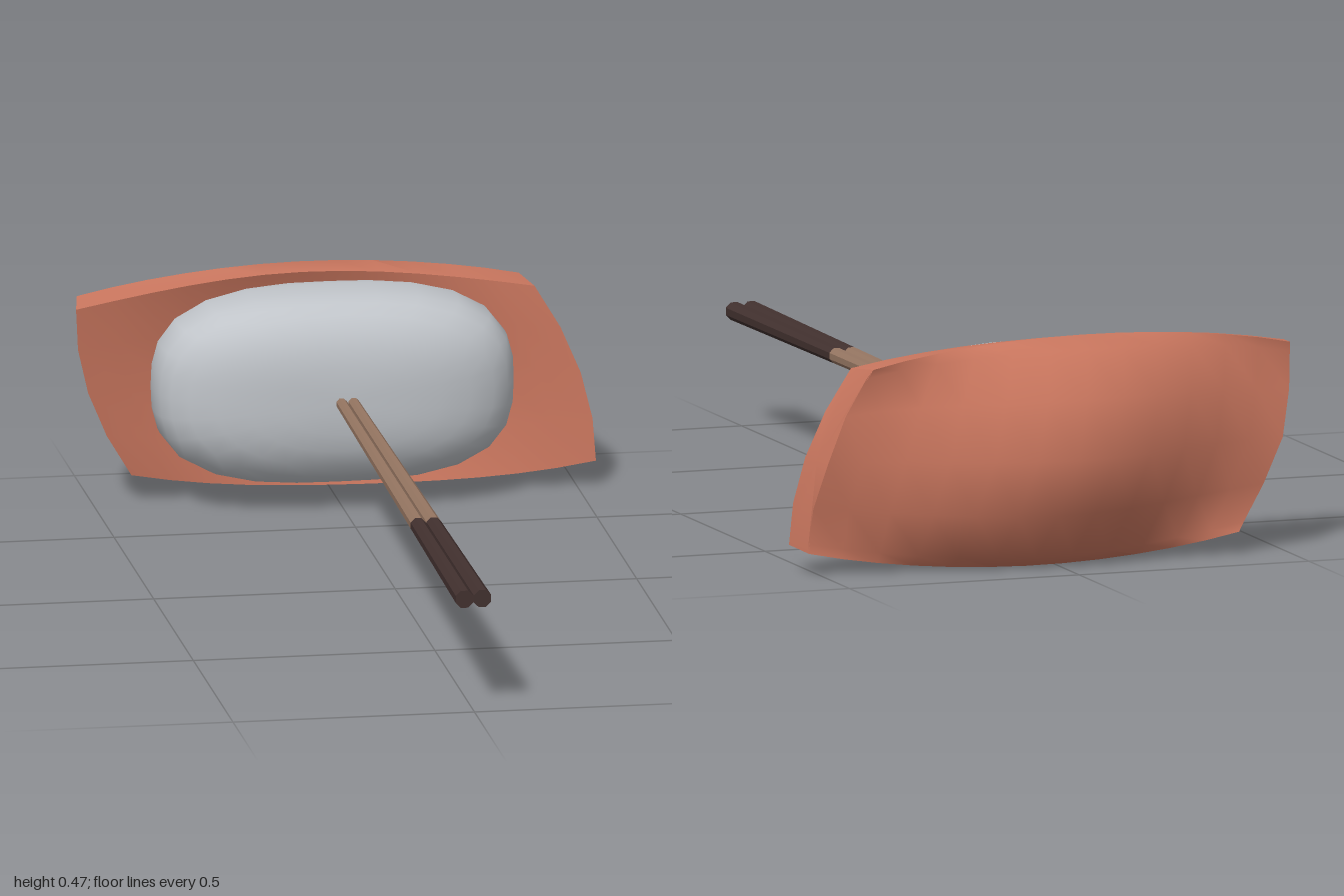
import * as THREE from 'three';
import { mergeVertices, toCreasedNormals } from 'three/addons/utils/BufferGeometryUtils.js';

const mat = (name, color) => new THREE.MeshStandardMaterial({ name, color });

// Curved slice: closed C-shaped sections swept along x, with slanted ends
function sliceGeometry() {
  // [height -1..1, z at the middle, forward bend at the ends, outer side?]
  const upper = [[0.96, -0.805, 0.04, 0], [1, -0.855, 0.01, 1], [0.9, -0.9, 0.06, 1], [0.5, -0.965, 0.12, 1]];
  const flip = (p) => [-p[0], p[1], p[2], p[3]];
  const profile = [
    ...upper, [0, -1, 0.14, 1], ...upper.map(flip).reverse(),
    [-0.5, -0.845, 0.08, 0], [0, -0.865, 0.1, 0], [0.5, -0.845, 0.08, 0],
  ];
  const N = profile.length, S = 12, pos = [], idx = [];
  for (let i = 0; i <= S; i++) {
    const u = (i / S) * 2 - 1;
    for (const [t, z, bend, outer] of profile) {
      const side = u * 0.475 + 0.035 * u * (1 - t * t);
      pos.push(
        side * (outer ? 1 - 0.03 * u ** 4 : 1) - 0.063 * t,
        0.238 + t * (0.236 - 0.046 * u * u),
        z + bend * (1 - Math.cos(Math.PI * u)) / 2 - 0.02 * t * u,
      );
    }
  }
  for (let i = 0; i < S; i++) {
    for (let j = 0; j < N; j++) {
      const k = (j + 1) % N, a = i * N, b = a + N;
      idx.push(a + j, b + j, a + k, b + j, b + k, a + k);
    }
  }
  // End caps, fanned from the middle of each end section
  for (const i of [0, S]) {
    const o = i * N * 3, m = pos.length / 3;
    const outer = o + 4 * 3, inner = o + (N - 2) * 3;
    for (let c = 0; c < 3; c++) pos.push((pos[outer + c] + pos[inner + c]) / 2);
    for (let j = 0; j < N; j++) {
      const a = i * N + j, b = i * N + (j + 1) % N;
      idx.push(m, i ? b : a, i ? a : b);
    }
  }
  const g = new THREE.BufferGeometry();
  g.setAttribute('position', new THREE.Float32BufferAttribute(pos, 3));
  g.setIndex(idx);
  return toCreasedNormals(g, 0.75);
}

// Plump rice block: a sphere pushed out towards a rounded box
function riceGeometry() {
  let g = new THREE.SphereGeometry(1, 28, 18).rotateX(Math.PI / 2);
  g.deleteAttribute('uv');
  g.deleteAttribute('normal');
  g = mergeVertices(g, 1e-4);
  const p = g.attributes.position, e = 2.9;
  for (let i = 0; i < p.count; i++) {
    const v = [p.getX(i), p.getY(i), p.getZ(i)];
    const r = v.reduce((s, c) => s + Math.abs(c) ** e, 0) ** (-1 / e);
    p.setXYZ(i, v[0] * r * 0.372, v[1] * r * 0.2, v[2] * r * 0.165);
  }
  g.computeVertexNormals();
  return g;
}

export function createModel() {
  const fish = mat('salmon', 0xc9765e);
  const white = mat('rice white', 0xc0c4c9);
  const wood = mat('wood', 0x967662);
  const dark = mat('dark grip', 0x42312f);
  const model = new THREE.Group();
  model.name = 'sushiOnChopsticks';

  const add = (name, geometry, material, parent = model) => {
    const m = new THREE.Mesh(geometry, material);
    m.name = name;
    parent.add(m);
    return m;
  };

  add('fishSlice', sliceGeometry(), fish);
  add('riceBlock', riceGeometry(), white).position.set(-0.007, 0.245, -0.752);

  // Pair of tapered chopsticks, each a thin shaft and a dark grip
  const zEnd = 1, zTip = -0.85;
  const at = (z, wide, thin) => thin + (wide - thin) * (z - zTip) / (zEnd - zTip);
  for (const s of [-1, 1]) {
    const stick = new THREE.Group();
    stick.name = s > 0 ? 'leftChopstick' : 'rightChopstick';
    model.add(stick);
    const section = (name, z0, z1, material) => {
      const g = new THREE.CylinderGeometry(at(z1, 0.0195, 0.0105), at(z0, 0.0195, 0.0105), z1 - z0, 8);
      g.rotateY(Math.PI / 8).rotateX(Math.PI / 2);
      const m = add(name, toCreasedNormals(g, 0.6), material, stick);
      const mid = (z0 + z1) / 2;
      m.position.set(s * at(mid, 0.0185, 0.0115) - 0.002, 0.241, mid);
      m.rotation.y = Math.atan(s * 0.007 / (zEnd - zTip));
    };
    section('shaft', zTip, 0.4, wood);
    section('grip', 0.4, zEnd, dark);
  }
  return model;
}
